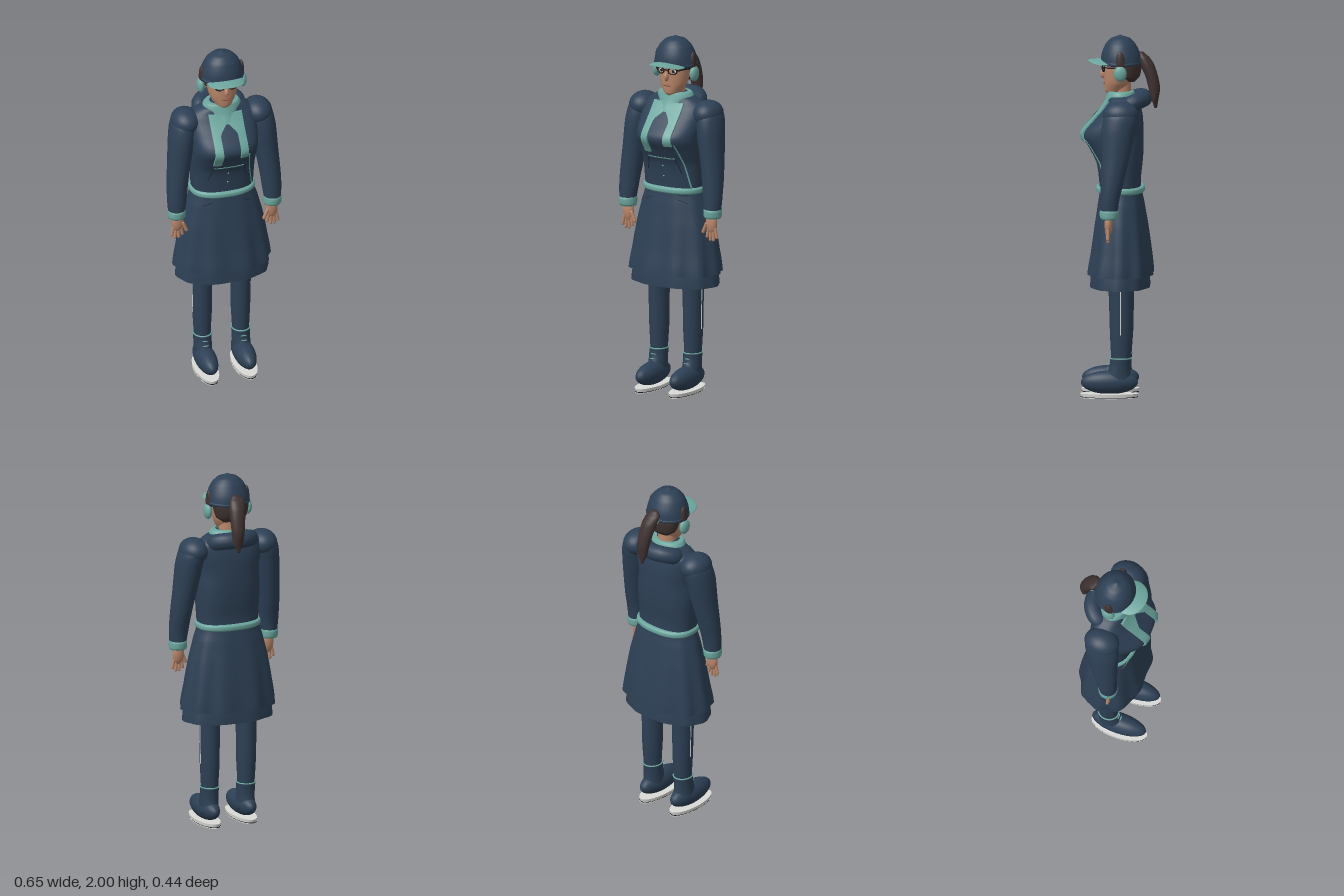
import * as THREE from 'three';

const mat = (name, color, side = THREE.FrontSide) => {
  const m = new THREE.MeshStandardMaterial({ color, side });
  m.name = name;
  return m;
};

// Cross-section at float index s of rings [y, centreX, halfWidth, frontZ, backZ]
function section(rings, s) {
  const i = Math.min(Math.floor(s), rings.length - 2), t = s - i;
  const a = rings[Math.max(i - 1, 0)], b = rings[i], c = rings[i + 1], d = rings[Math.min(i + 2, rings.length - 1)];
  return b.map((v, k) => {
    if (k === 0) return v + (c[k] - v) * t;
    const cubic = 3 * (v - c[k]) + d[k] - a[k], square = 2 * a[k] - 5 * v + 4 * c[k] - d[k];
    return v + 0.5 * t * (c[k] - a[k] + t * (square + t * cubic));
  });
}

// Skin of superellipse sections stacked upward in y
function loft(rings, { n = 2, steps = 5, sides = 40, open = false, wave = () => 1 } = {}) {
  const pos = [], idx = [], rows = (rings.length - 1) * steps;
  for (let i = 0; i <= rows; i++) {
    const [y, cx, rx, zf, zb] = section(rings, i / steps);
    for (let j = 0; j < sides; j++) {
      const a = j / sides * Math.PI * 2, c = Math.cos(a), s = Math.sin(a), w = wave(a, i / rows);
      pos.push(cx + rx * w * Math.sign(c) * Math.abs(c) ** (2 / n), y,
        (zf + zb) / 2 + (zf - zb) / 2 * w * Math.sign(s) * Math.abs(s) ** (2 / n));
    }
  }
  for (let i = 0; i < rows; i++) for (let j = 0; j < sides; j++) {
    const a = i * sides + j, b = i * sides + (j + 1) % sides;
    idx.push(a, a + sides, b, b, a + sides, b + sides);
  }
  if (!open) for (const end of [0, rows]) {
    const [y, cx, , zf, zb] = section(rings, end / steps), centre = pos.length / 3;
    pos.push(cx, y, (zf + zb) / 2);
    for (let j = 0; j < sides; j++) {
      const a = end * sides + j, b = end * sides + (j + 1) % sides;
      idx.push(centre, ...(end ? [b, a] : [a, b]));
    }
  }
  const g = new THREE.BufferGeometry();
  g.setAttribute('position', new THREE.Float32BufferAttribute(pos, 3));
  g.setIndex(idx);
  g.computeVertexNormals();
  return g;
}

// Front surface height of a loft at (x, y)
function frontZ(rings, x, y, n) {
  let i = 0;
  while (i < rings.length - 2 && rings[i + 1][0] < y) i++;
  const t = THREE.MathUtils.clamp((y - rings[i][0]) / (rings[i + 1][0] - rings[i][0]), 0, 1);
  const [, cx, rx, zf, zb] = section(rings, i + t);
  return (zf + zb) / 2 + (zf - zb) / 2 * Math.max(0, 1 - Math.abs((x - cx) / rx) ** n) ** (1 / n);
}

// Strip laid on a loft's front; edges(v) gives [xMin, xMax, y] for v from 0 to 1
function drape(rings, n, edges, depth) {
  const g = new THREE.BoxGeometry(1, 1, depth, 8, 20, 1), p = g.attributes.position;
  for (let i = 0; i < p.count; i++) {
    const [x0, x1, y] = edges(p.getY(i) + 0.5), x = x0 + (x1 - x0) * (p.getX(i) + 0.5);
    p.setXYZ(i, x, y, frontZ(rings, x, y, n) + p.getZ(i));
  }
  g.computeVertexNormals();
  return g;
}

const ball = (rx, ry, rz) => new THREE.SphereGeometry(1, 28, 20).scale(rx, ry, rz);
const lerp = THREE.MathUtils.lerp;

const TORSO = [[1.1, 0, .17, .11, -.12], [1.2, 0, .175, .115, -.115], [1.3, 0, .18, .13, -.125], [1.38, 0, .185, .17, -.13],
  [1.46, 0, .185, .21, -.13], [1.55, 0, .19, .14, -.125], [1.62, 0, .185, .08, -.11], [1.66, 0, .13, .06, -.09], [1.69, 0, .05, .04, -.06]];
const HEAD = [[1.675, 0, .025, .07, .01], [1.69, 0, .048, .082, -.03], [1.74, 0, .075, .086, -.06], [1.8, 0, .086, .088, -.08], [1.87, 0, .09, .088, -.09]];
const SKIRT = [[.68, 0, .272, .178, -.186], [.8, 0, .255, .16, -.175], [.95, 0, .23, .14, -.155], [1.07, 0, .2, .122, -.135], [1.15, 0, .175, .11, -.12]];
const SLEEVE = [[1.04, .275, .046, .1, .003], [1.12, .272, .054, .1, -.005], [1.22, .265, .059, .098, -.03], [1.35, .25, .065, .095, -.06],
  [1.5, .232, .073, .095, -.09], [1.58, .22, .07, .08, -.1], [1.64, .21, .045, .04, -.07]];

export function createModel() {
  const navy = mat('navy cloth', 0x2d4055, THREE.DoubleSide), teal = mat('teal trim', 0x6ca69e, THREE.DoubleSide);
  const skin = mat('skin', 0xb8866a), hair = mat('dark brown hair', 0x3e3231), lip = mat('lips', 0x90594f);
  const black = mat('black', 0x1b1b20), white = mat('pale grey', 0xd9d9d6), seam = mat('seam', 0x1d2a3a);
  const model = new THREE.Group();
  const add = (name, geo, m, x = 0, y = 0, z = 0) => {
    const mesh = new THREE.Mesh(geo, m);
    mesh.name = name;
    mesh.position.set(x, y, z);
    model.add(mesh);
    return mesh;
  };

  // Jacket, belt and hood
  add('jacket', loft(TORSO, { n: 2.5 }), navy);
  add('belt', loft([[1.132, 0, .176, .12, -.128], [1.14, 0, .184, .13, -.137], [1.16, 0, .184, .13, -.137], [1.168, 0, .176, .12, -.128]], { n: 2.4 }), teal);
  const hoodPath = new THREE.CatmullRomCurve3([[.09, 1.6, -.02], [.105, 1.635, -.075], [.06, 1.65, -.12], [0, 1.65, -.132],
    [-.06, 1.65, -.12], [-.105, 1.635, -.075], [-.09, 1.6, -.02]].map(p => new THREE.Vector3(...p)));
  add('hood', new THREE.TubeGeometry(hoodPath, 40, .046, 16), navy);

  // Scarf collar and its two hanging ends
  add('scarfCollar', loft([[1.59, 0, .095, .11, -.08], [1.63, 0, .092, .088, -.08], [1.665, 0, .108, .074, -.085], [1.69, 0, .095, .066, -.075], [1.692, 0, .07, .05, -.055]],
    { open: true }), teal);
  for (const s of [-1, 1]) {
    const bottom = s < 0 ? 1.37 : 1.42;
    add('scarfEnd', drape(TORSO, 2.5, v => {
      const y = lerp(bottom, 1.64, v), inner = lerp(.05, 0, THREE.MathUtils.smoothstep(y, 1.54, 1.61)), outer = .095;
      return s > 0 ? [inner, outer, y] : [-outer, -inner, y];
    }, .022), teal);
  }

  // Pocket piping, drawcord and buttons
  const line = (name, x0, y0, x1, y1, w, m) => add(name, drape(TORSO, 2.5, v => {
    const x = lerp(x0, x1, v);
    return [x - w, x + w, lerp(y0, y1, v)];
  }, .008), m);
  add('pocketTop', drape(TORSO, 2.5, v => [-.085, .085, lerp(1.336, 1.342, v)], .008), teal);
  for (const s of [-1, 1]) line('pocketSide', s * .11, 1.25, s * .085, 1.338, .002, seam);
  line('drawcord', .15, 1.17, .105, 1.43, .003, teal);
  for (const y of [1.23, 1.29]) add('button', ball(.005, .005, .004), teal, 0, y, frontZ(TORSO, 0, y, 2.5));

  // Flared skirt with a narrower lower tier
  const folds = k => (a, t) => 1 + k * (1 - t) * Math.cos(10 * a);
  add('skirt', loft(SKIRT, { n: 2.2, sides: 80, open: true, wave: folds(.035) }), navy);
  add('skirtTier', loft([[.61, 0, .262, .165, -.168], [.7, 0, .25, .158, -.16], [.78, 0, .235, .14, -.15]],
    { n: 2.2, sides: 80, open: true, wave: folds(.015) }), navy);
  for (const s of [-1, 1]) add('skirtPocket', drape(SKIRT, 2.2, v => {
    const x = s * lerp(.14, .09, v);
    return [x - .004, x + .004, lerp(1.08, 1.1, v)];
  }, .008), seam);

  // Head, neck and hair
  add('neck', new THREE.CylinderGeometry(.05, .055, .16, 28), skin, 0, 1.68, -.01);
  add('head', loft(HEAD), skin);
  add('backHair', loft([[1.745, 0, .055, -.04, -.085], [1.77, 0, .088, 0, -.108], [1.82, 0, .102, .025, -.118], [1.86, 0, .106, .03, -.115]]), hair);
  add('ponytail', loft([[1.6, .022, .008, -.188, -.205], [1.65, .022, .028, -.172, -.213], [1.71, .02, .036, -.157, -.221], [1.78, .015, .042, -.138, -.208],
    [1.84, .008, .045, -.11, -.188], [1.88, 0, .042, -.1, -.16], [1.905, 0, .022, -.105, -.13]]), hair);
  add('hairTie', new THREE.TorusGeometry(.036, .007, 10, 28).rotateX(.5), teal, 0, 1.86, -.13);

  // Face
  add('nose', ball(.012, .026, .021), skin, 0, 1.785, .089);
  add('mouth', ball(.023, .005, .005), lip, 0, 1.735, frontZ(HEAD, 0, 1.735, 2));
  add('glassesBridge', new THREE.BoxGeometry(.026, .006, .006), black, 0, 1.825, .097);
  for (const s of [-1, 1]) {
    const z = frontZ(HEAD, .038, 1.82, 2);
    add('eyeWhite', ball(.017, .009, .004), white, s * .038, 1.818, z);
    add('iris', ball(.009, .009, .005), black, s * .038, 1.818, z + .002);
    add('eyebrow', ball(.022, .004, .004), hair, s * .04, 1.843, z);
    add('glassesFrame', new THREE.TorusGeometry(.024, .004, 8, 28).scale(1.05, .75, 1), black, s * .038, 1.82, z + .011).rotation.y = s * .25;
    add('glassesTemple', new THREE.BoxGeometry(.006, .007, .1), black, s * .081, 1.826, .042).rotation.y = -s * .3;
  }

  // Peaked cap and ear muffs
  add('cap', loft([[1.84, 0, .122, .105, -.118], [1.855, 0, .121, .106, -.119], [1.9, 0, .112, .1, -.11], [1.95, 0, .09, .08, -.086],
    [1.982, 0, .056, .05, -.056], [2, 0, .006, .005, -.008]]), navy);
  add('capBand', loft([[1.838, 0, .121, .104, -.117], [1.843, 0, .124, .107, -.121], [1.852, 0, .124, .107, -.121], [1.856, 0, .121, .104, -.117]]), navy);
  const brim = new THREE.SphereGeometry(1, 40, 16).scale(.104, .008, .09), bp = brim.attributes.position;
  for (let i = 0; i < bp.count; i++) bp.setY(i, bp.getY(i) - 1.5 * bp.getX(i) ** 2);
  brim.computeVertexNormals();
  add('capBrim', brim, teal, 0, 1.86, .086);

  for (const s of [-1, 1]) {
    add('sideHair', ball(.016, .066, .025), hair, s * .113, 1.855, -.005);
    add('earMuff', ball(.022, .044, .036), teal, s * .12, 1.8, -.005);

    // Arm, mirrored by flipping the section centres
    const flip = rings => rings.map(([y, cx, ...rest]) => [y, s * cx, ...rest]);
    add('sleeve', loft(flip(SLEEVE)), navy);
    add('shoulder', ball(.08, .072, .098), navy, s * .207, 1.586, -.01);
    add('cuff', loft(flip([[1.015, .275, .046, .096, .006], [1.025, .275, .05, .102, 0], [1.055, .275, .05, .104, -.002], [1.065, .274, .048, .1, .002]])), teal);
    add('palm', ball(.034, .06, .022), skin, s * .27, .985, .055);
    for (let i = 0; i < 4; i++) {
      const reach = Math.abs(i - 1.5);
      add('finger', new THREE.CapsuleGeometry(.0088, .07 - reach * .012, 4, 10), skin,
        s * (.248 + i * .017), .918 + reach * .009, .058).rotation.z = s * (i - 1.3) * .13;
    }
    add('thumb', new THREE.CapsuleGeometry(.01, .05, 4, 10), skin, s * .233, .955, .066).rotation.z = -s * .4;

    // Leg and ice skate
    add('legging', loft(flip([[.2, .11, .046, .045, -.06], [.35, .11, .053, .052, -.07], [.6, .11, .058, .06, -.075], [.95, .1, .078, .075, -.085]])), navy);
    add('legStripe', new THREE.BoxGeometry(.006, .25, .005), white, s * .165, .48, -.007).rotation.z = -s * .018;
    add('bootShaft', loft(flip([[.07, .11, .052, .08, -.075], [.13, .11, .05, .07, -.062], [.18, .11, .05, .055, -.06], [.222, .11, .052, .052, -.064]])), navy);
    add('bootTrim', new THREE.TorusGeometry(.051, .004, 8, 32).rotateX(Math.PI / 2).scale(1, 1, 1.12), teal, s * .11, .22, -.006);
    add('bootFoot', ball(.058, .065, .157), navy, s * .11, .086, .055);
    for (const [y, z] of [[.19, .054], [.165, .064], [.145, .09]]) add('lace', ball(.018, .003, .004), teal, s * .11, y, z);
    add('skateSole', new THREE.CylinderGeometry(1, .97, .018, 48).scale(.063, 1, .161), white, s * .11, .016, .056);
    add('skateEdge', new THREE.CylinderGeometry(1, 1, .005, 48).scale(.06, 1, .158), black, s * .11, .0055, .056);
    add('skateBase', new THREE.CylinderGeometry(1, 1, .004, 48).scale(.061, 1, .159), white, s * .11, .002, .056);
  }
  return model;
}
